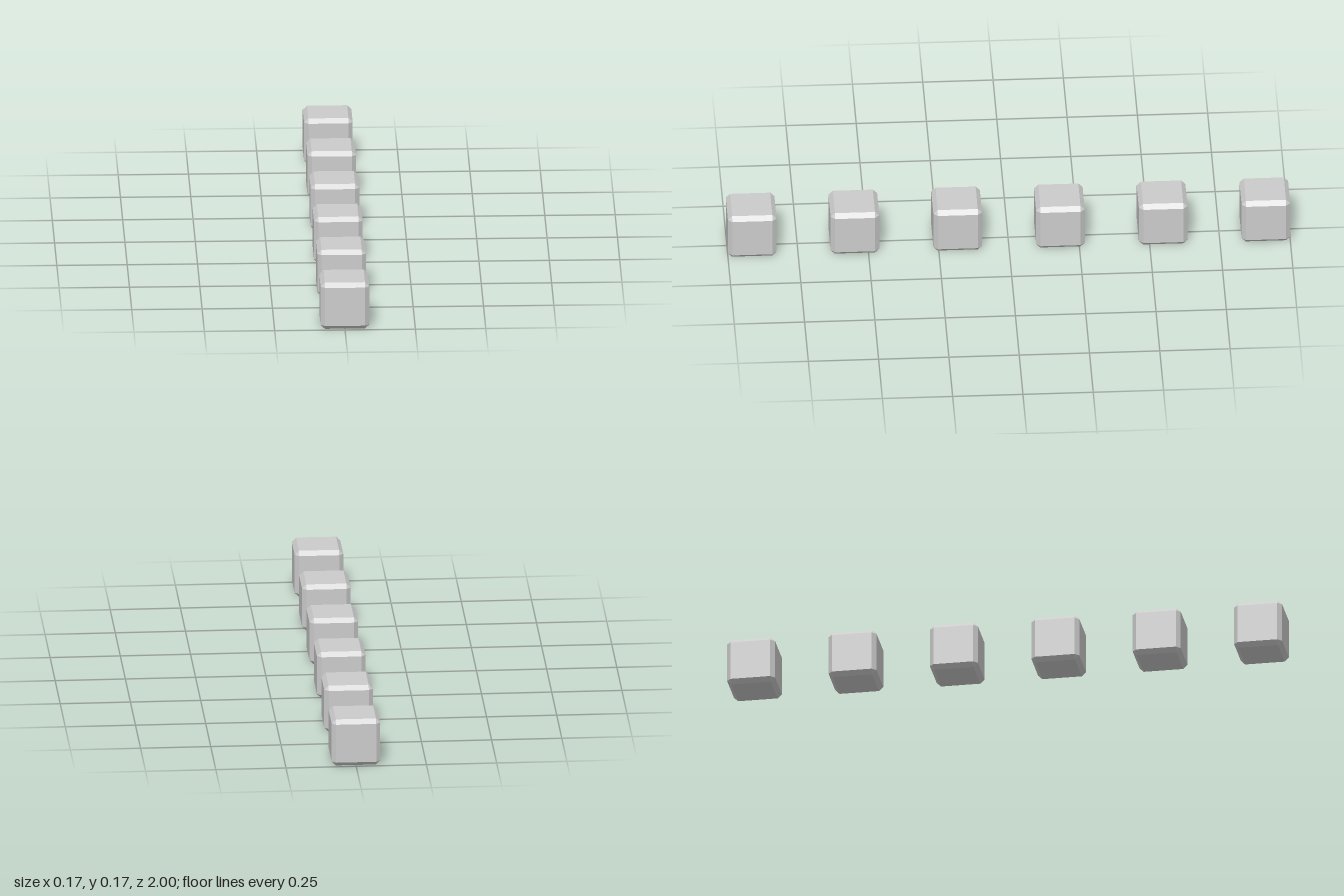
import * as THREE from 'three';
import { ConvexGeometry } from 'three/addons/geometries/ConvexGeometry.js';

const HALF = 0.0865;   // half the cube's edge length
const BEVEL = 0.0152;  // width of the chamfer
const COUNT = 6;

// Cube with chamfered edges and small triangular corners
function chamferedCube(half, bevel) {
  const inner = half - bevel;
  const points = [];
  for (const x of [-1, 1]) for (const y of [-1, 1]) for (const z of [-1, 1]) {
    points.push(
      new THREE.Vector3(x * half, y * inner, z * inner),
      new THREE.Vector3(x * inner, y * half, z * inner),
      new THREE.Vector3(x * inner, y * inner, z * half),
    );
  }
  return new ConvexGeometry(points);
}

export function createModel() {
  const group = new THREE.Group();
  group.name = 'cubeRow';
  const material = new THREE.MeshStandardMaterial({ color: 0xcccccc, flatShading: true });
  const geometry = chamferedCube(HALF, BEVEL);

  // Row of evenly spaced cubes from back to front
  const end = 1 - HALF;
  for (let i = 0; i < COUNT; i++) {
    const cube = new THREE.Mesh(geometry, material);
    cube.name = `cube${i + 1}`;
    cube.position.set(0, HALF, -end + (2 * end * i) / (COUNT - 1));
    group.add(cube);
  }
  return group;
}
